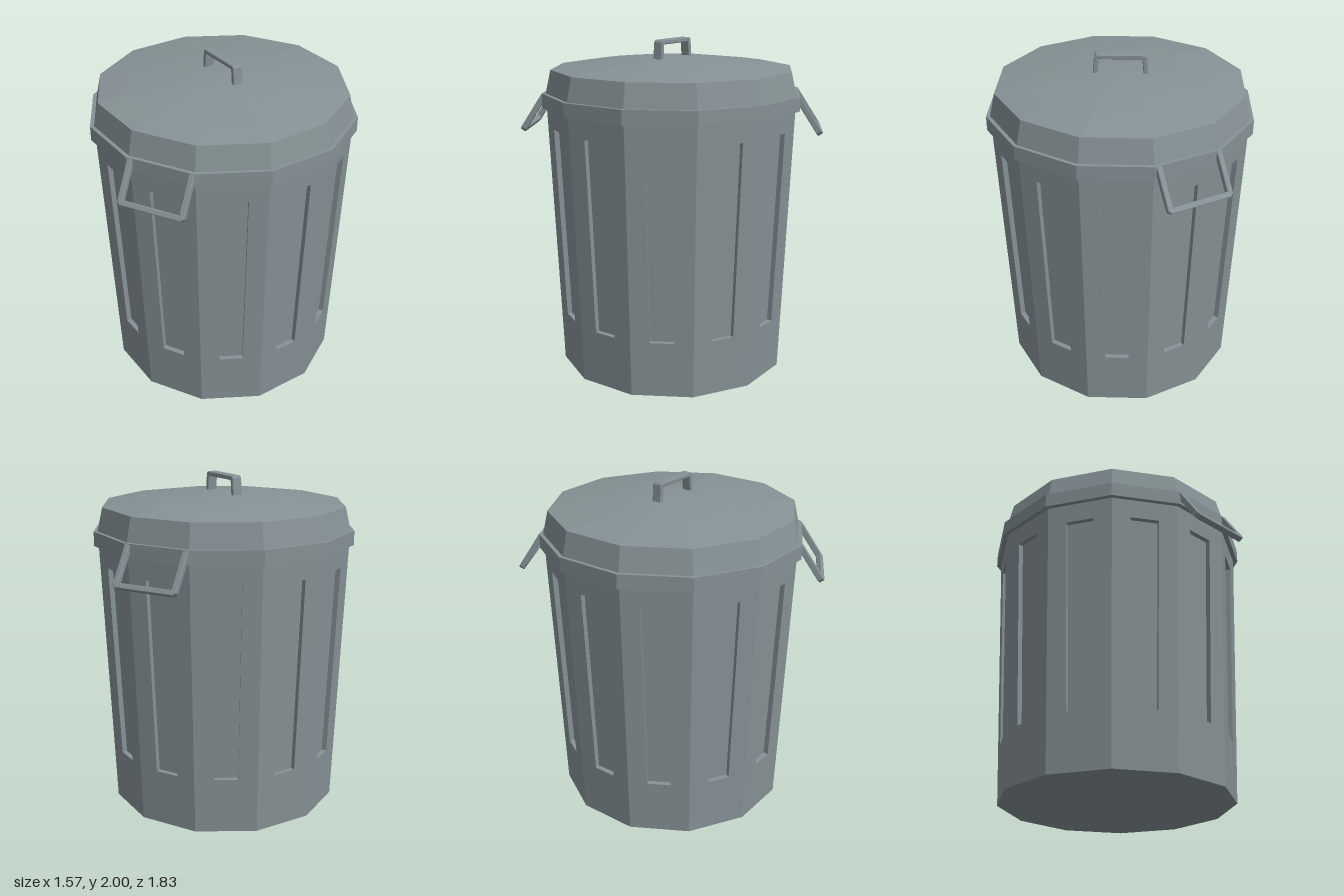
import * as THREE from 'three';

const SIDES = 12;
const HALF = Math.PI / SIDES;
const BODY_TOP = 1.61;
const bodyRadius = y => 0.695 + 0.039 * y;

// One side of the body (facing +z) with a recessed vertical panel
function staveGeometry() {
  const onFace = (x, y, inset = 0) => [x, y, bodyRadius(y) * Math.cos(HALF) - inset];
  const edge = y => bodyRadius(y) * Math.sin(HALF);
  const yLow = 0.335, yHigh = 1.49, wLow = 0.07, wHigh = 0.085, depth = 0.03;
  // corners run counter-clockwise from bottom left
  const loop = (y0, w0, y1, w1, inset) => [
    onFace(-w0, y0, inset), onFace(w0, y0, inset), onFace(w1, y1, inset), onFace(-w1, y1, inset)];
  const outer = loop(0, edge(0), BODY_TOP, edge(BODY_TOP), 0);
  const lip = loop(yLow, wLow, yHigh, wHigh, 0);
  const floor = loop(yLow, wLow, yHigh, wHigh, depth);
  const pos = [];
  const quad = (a, b, c, d) => pos.push(...a, ...b, ...c, ...a, ...c, ...d);
  for (let i = 0; i < 4; i++) {
    const j = (i + 1) % 4;
    quad(outer[i], outer[j], lip[j], lip[i]);
    quad(lip[i], lip[j], floor[j], floor[i]);
  }
  quad(...floor);
  const geo = new THREE.BufferGeometry();
  geo.setAttribute('position', new THREE.Float32BufferAttribute(pos, 3));
  geo.computeVertexNormals();
  return geo;
}

// U-shaped grip: legs rise from y = 0 to a crossbar at y = length
function gripGeometry(base, tip, length, bar, thickness, chamfer) {
  const shape = new THREE.Shape([
    [-base, 0], [-base + bar, 0], [-tip + bar, length - bar], [tip - bar, length - bar],
    [base - bar, 0], [base, 0], [tip, length - chamfer], [tip - chamfer, length],
    [-tip + chamfer, length], [-tip, length - chamfer],
  ].map(p => new THREE.Vector2(...p)));
  const bevel = 0.004;
  const geo = new THREE.ExtrudeGeometry(shape, {
    depth: thickness - 2 * bevel, bevelEnabled: true, bevelSegments: 1,
    bevelSize: bevel, bevelThickness: bevel, bevelOffset: -bevel,
  });
  return geo.translate(0, 0, -thickness / 2 + bevel);
}

const lathe = points =>
  new THREE.LatheGeometry(points.map(p => new THREE.Vector2(...p)), SIDES);

export function createModel() {
  const model = new THREE.Group();
  model.name = 'trashCan';
  const metal = new THREE.MeshStandardMaterial({ color: 0x869296 });
  metal.name = 'galvanizedGrey';
  metal.flatShading = true;

  const add = (parent, name, geometry) => {
    const mesh = new THREE.Mesh(geometry, metal);
    mesh.name = name;
    parent.add(mesh);
    return mesh;
  };

  // Body: twelve panelled sides and a flat base
  const body = new THREE.Group();
  body.name = 'body';
  model.add(body);
  const stave = staveGeometry();
  for (let i = 0; i < SIDES; i++) {
    add(body, 'sidePanel', stave).rotation.y = HALF * (2 * i + 1);
  }
  add(body, 'base', new THREE.CircleGeometry(bodyRadius(0), SIDES).rotateX(Math.PI / 2));

  // Rim band
  add(model, 'rim', lathe([[0.72, 1.605], [0.785, 1.605], [0.785, 1.69], [0.74, 1.69]]));

  // Lid: sloped skirt and shallow dome
  add(model, 'lid', lathe([
    [0.762, 1.69], [0.73, 1.828], [0.55, 1.854], [0.37, 1.875], [0.18, 1.889], [0, 1.895]]));

  // Lid handle, set diagonally
  const lidHandle = add(model, 'lidHandle', gripGeometry(0.16, 0.15, 0.13, 0.026, 0.06, 0.012));
  lidHandle.position.y = 1.87;
  lidHandle.rotation.y = -Math.PI / 4;

  // Two carrying handles hanging outward from the rim
  const grip = gripGeometry(0.2, 0.2, 0.255, 0.032, 0.035, 0.018);
  [['frontHandle', -HALF], ['backHandle', Math.PI - HALF]].forEach(([name, turn]) => {
    const pivot = new THREE.Group();
    pivot.name = name;
    pivot.rotation.y = turn;
    model.add(pivot);
    const mesh = add(pivot, name + 'Grip', grip);
    mesh.position.set(0.005, 1.68, 0.745);
    mesh.rotation.set(-0.577, 0, Math.PI);
  });

  return model;
}
